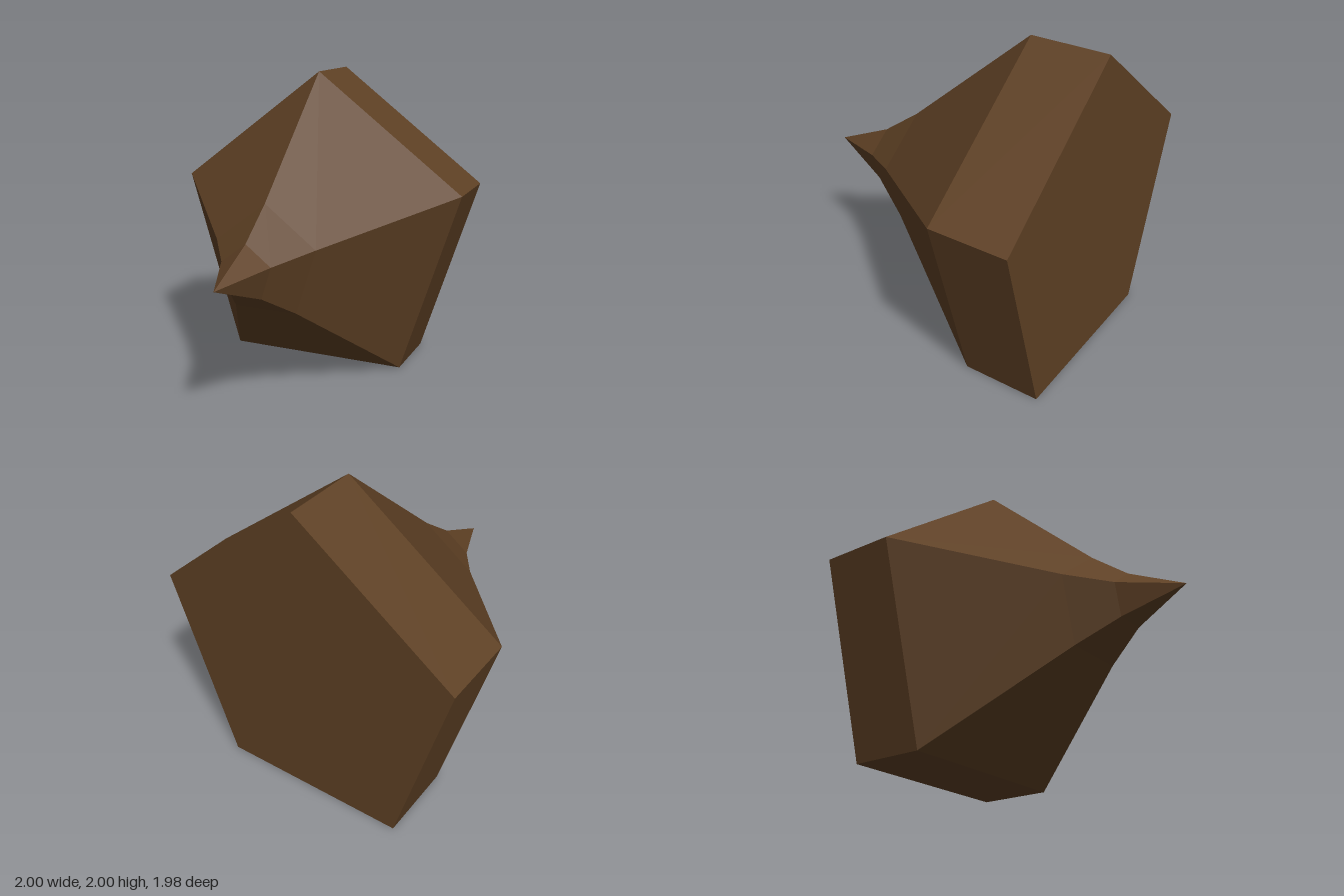
import * as THREE from 'three';

export function createModel() {
  const group = new THREE.Group();
  const brown = new THREE.MeshStandardMaterial({ color: 0x5e4024, flatShading: true });
  brown.name = 'darkBrown';

  // Profile from the back cap to the front tip: [radius, depth]
  const profile = [[0, -0.99], [1, -0.99], [1, -0.49], [0.336, 0.34], [0.163, 0.6], [0, 0.99]]
    .map(([r, d]) => new THREE.Vector2(r, d));

  // Five-sided spike, turned so its axis points forward with one ridge on top
  const geometry = new THREE.LatheGeometry(profile, 5, Math.PI).toNonIndexed();
  geometry.rotateX(Math.PI / 2);

  // Fit the pentagon to 2 wide and 2 tall, standing on the ground
  const scaleX = 1 / Math.sin(Math.PI * 0.4);
  const scaleY = 2 / (1 + Math.cos(Math.PI * 0.2));
  geometry.scale(scaleX, scaleY, 1);
  geometry.translate(0, 2 - scaleY, 0);
  geometry.computeVertexNormals();

  const spike = new THREE.Mesh(geometry, brown);
  spike.name = 'pentagonalSpike';
  group.add(spike);
  return group;
}
